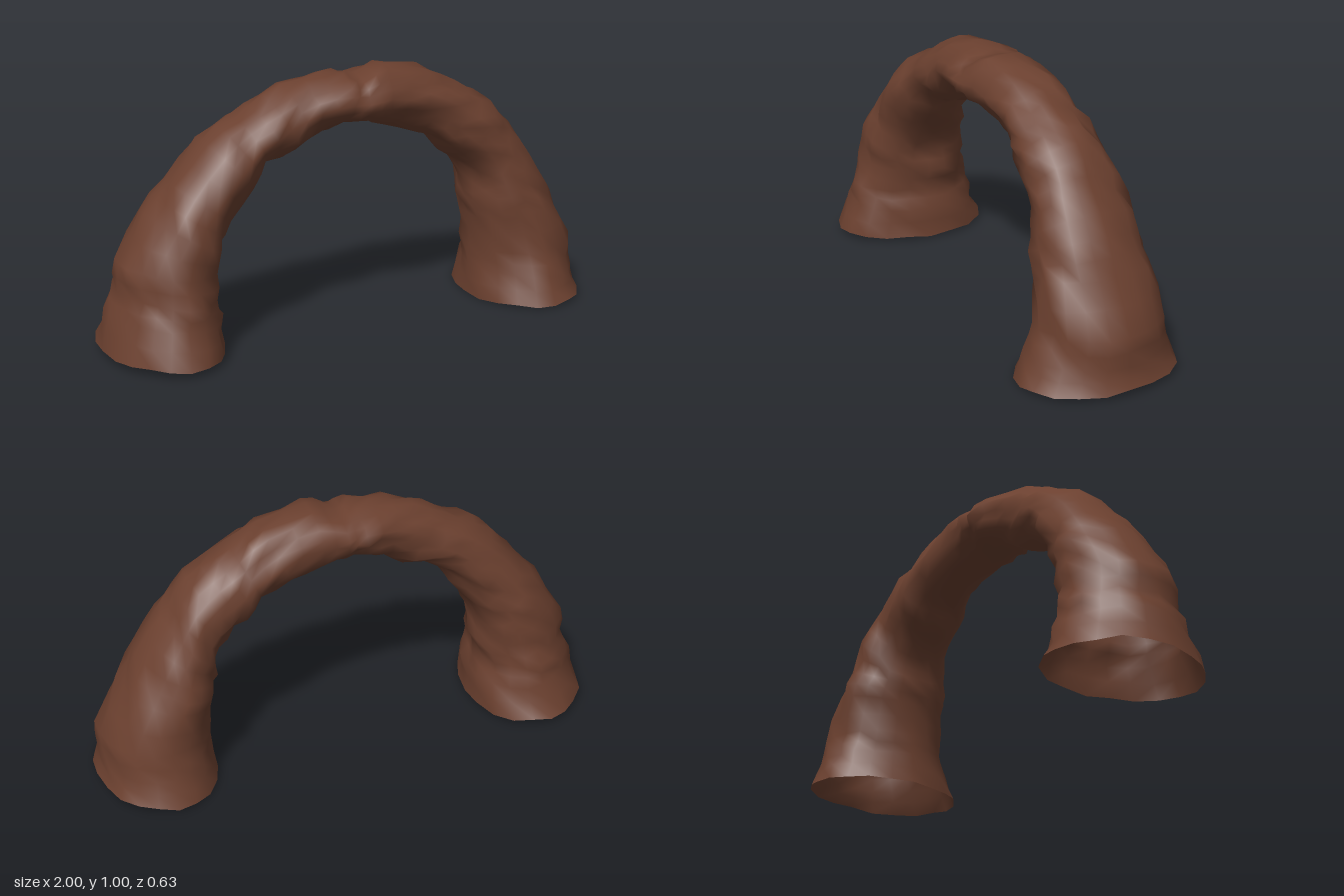
import * as THREE from 'three';

const rock = new THREE.MeshStandardMaterial({ color: 0x6b402f, side: THREE.DoubleSide });
rock.name = 'brown rock';

// Cross-sections along the arch: outer x, y, inner x, y, front depth, back depth
const SECTIONS = [
  [-1.0, 0.04, -0.54, 0.02, 0.31, 0.315],
  [-0.955, 0.18, -0.55, 0.14, 0.262, 0.255],
  [-0.925, 0.26, -0.57, 0.22, 0.245, 0.23],
  [-0.92, 0.37, -0.545, 0.31, 0.22, 0.215],
  [-0.81, 0.54, -0.55, 0.39, 0.21, 0.205],
  [-0.72, 0.65, -0.5, 0.49, 0.18, 0.18],
  [-0.59, 0.79, -0.42, 0.6, 0.175, 0.16],
  [-0.46, 0.865, -0.36, 0.68, 0.15, 0.145],
  [-0.34, 0.925, -0.23, 0.72, 0.145, 0.125],
  [-0.19, 0.98, -0.15, 0.77, 0.14, 0.125],
  [-0.04, 0.985, -0.05, 0.8, 0.155, 0.145],
  [0.03, 0.975, 0.02, 0.8, 0.165, 0.145],
  [0.13, 1.01, 0.11, 0.78, 0.145, 0.13],
  [0.32, 0.97, 0.23, 0.745, 0.14, 0.13],
  [0.44, 0.905, 0.34, 0.7, 0.15, 0.15],
  [0.55, 0.85, 0.4, 0.63, 0.16, 0.155],
  [0.65, 0.76, 0.48, 0.57, 0.165, 0.16],
  [0.715, 0.67, 0.525, 0.48, 0.18, 0.185],
  [0.81, 0.53, 0.525, 0.41, 0.2, 0.21],
  [0.88, 0.41, 0.54, 0.34, 0.21, 0.23],
  [0.975, 0.22, 0.55, 0.21, 0.235, 0.235],
  [0.975, 0.11, 0.555, 0.13, 0.265, 0.26],
  [1.0, 0.03, 0.535, 0.01, 0.315, 0.305],
];

function spline(a, b) {
  return new THREE.CatmullRomCurve3(SECTIONS.map(s => new THREE.Vector3(s[a], s[b], 0)));
}

function createRandom(seed) {
  return () => {
    seed = (seed * 16807) % 2147483647;
    return seed / 2147483647;
  };
}

function archGeometry(rings, sides) {
  const outer = spline(0, 1), inner = spline(2, 3), depth = spline(4, 5);
  const random = createRandom(4217);
  const positions = [], indices = [];

  for (let i = 0; i <= rings; i++) {
    const t = i / rings;
    const o = outer.getPoint(t), n = inner.getPoint(t), d = depth.getPoint(t);
    const centre = o.clone().add(n).multiplyScalar(0.5);
    const half = o.clone().sub(n).multiplyScalar(0.5);
    const end = i === 0 || i === rings;
    for (let j = 0; j < sides; j++) {
      const a = j / sides * Math.PI * 2, c = Math.cos(a), s = Math.sin(a);
      // The right foot leans diagonally inwards and back
      const lean = 0.1 * c * s * (c + s) * Math.max(0, 1 - 3 * t);
      // Chips in the stone, of even size along the arch
      const chip = (random() - 0.5) * (end ? 0.008 : 0.024) / half.length();
      const k = 1 - lean + chip;
      const drop = end ? (random() - 0.5) * 0.015 : 0;
      positions.push(
        THREE.MathUtils.clamp(centre.x + half.x * c * k, -1, 1),
        Math.max(0, centre.y + half.y * c * k + drop),
        (s > 0 ? d.x : d.y) * s * k
      );
    }
  }
  for (let i = 0; i < rings; i++) {
    for (let j = 0; j < sides; j++) {
      const j2 = (j + 1) % sides;
      const a = i * sides + j, b = i * sides + j2;
      const c = a + sides, e = b + sides;
      indices.push(a, b, c, b, e, c);
    }
  }
  const geometry = new THREE.BufferGeometry();
  geometry.setAttribute('position', new THREE.Float32BufferAttribute(positions, 3));
  geometry.setIndex(indices);
  geometry.computeVertexNormals();
  return geometry;
}

export function createModel() {
  const group = new THREE.Group();
  group.name = 'rockArch';
  // One hollow tube of stone, open at both feet
  const arch = new THREE.Mesh(archGeometry(44, 20), rock);
  arch.name = 'archStone';
  group.add(arch);
  return group;
}
